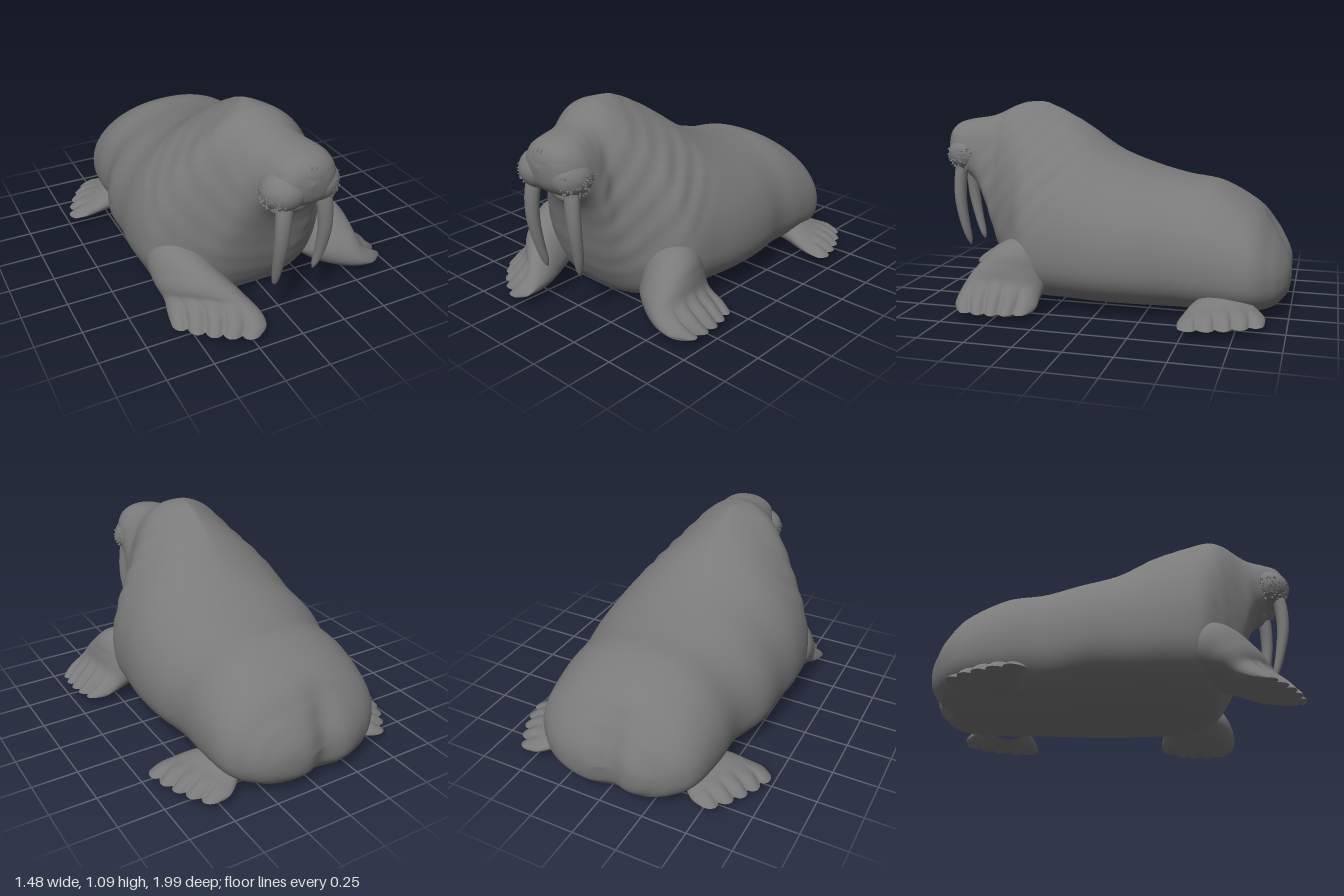
import * as THREE from 'three';

const hide = new THREE.MeshStandardMaterial({ color: 0x7a7a7a });
hide.name = 'grey hide';

// Small seeded generator for the bristles
let seed = 7;
const rand = () => (seed = (seed * 16807) % 2147483647) / 2147483647;
const step = (a, b, x) => THREE.MathUtils.smoothstep(x, a, b);
const V = (x, y, z) => new THREE.Vector3(x, y, z);

// Smooth interpolation through a short list of cross-sections
function sample(list, u) {
  const f = u * (list.length - 1);
  const i = Math.min(Math.floor(f), list.length - 2);
  const t = f - i;
  const at = k => list[Math.max(0, Math.min(list.length - 1, k))];
  return list[0].map((_, c) => {
    const p0 = at(i - 1)[c], p1 = at(i)[c], p2 = at(i + 1)[c], p3 = at(i + 2)[c];
    const m1 = (p2 - p0) / 2, m2 = (p3 - p1) / 2;
    return p1 + t * (m1 + t * (3 * (p2 - p1) - 2 * m1 - m2 + t * (2 * (p1 - p2) + m1 + m2)));
  });
}

// Closed tube of rings, fn(u, angle) gives [x, y, z]
function ringSurface(rows, cols, fn) {
  const pos = [], idx = [];
  for (let i = 0; i <= rows; i++) {
    for (let j = 0; j < cols; j++) pos.push(...fn(i / rows, (j / cols) * Math.PI * 2));
  }
  for (let i = 0; i < rows; i++) {
    for (let j = 0; j < cols; j++) {
      const k = (j + 1) % cols;
      const a = i * cols + j, b = i * cols + k, c = a + cols, d = b + cols;
      idx.push(a, b, c, b, d, c);
    }
  }
  const g = new THREE.BufferGeometry();
  g.setAttribute('position', new THREE.Float32BufferAttribute(pos, 3));
  g.setIndex(idx);
  g.computeVertexNormals();
  return g;
}

// Limb along a path; each section is [x, y, z, halfWidth, halfThickness].
// With "out" given, the far end becomes a webbed fan of five toes.
function limbGeometry(sections, side, out) {
  return ringSurface(36, out ? 96 : 28, (u, a) => {
    const s = sample(sections, u);
    const p = sample(sections, Math.max(0, u - 0.01)), q = sample(sections, Math.min(1, u + 0.01));
    const n = V(q[0] - p[0], q[1] - p[1], q[2] - p[2]).normalize().cross(side).normalize();
    const k = Math.cos(a);
    let h = Math.max(0, s[4]) * Math.sin(a);
    const point = V(s[0], s[1], s[2]).addScaledVector(side, Math.max(0, s[3]) * k);
    if (out) {
      const lobe = Math.sqrt(Math.abs(Math.sin((k + 1) * 2.5 * Math.PI)));
      const toe = step(0.55, 1, u);
      h *= 1 + 0.7 * toe * (lobe - 0.5);
      point.addScaledVector(out, toe * (0.04 * lobe + 0.035 * (1 - k * k)));
    }
    point.addScaledVector(n, h);
    return [point.x, Math.max(0.02, point.y), point.z];
  });
}

function add(parent, name, geometry) {
  const m = new THREE.Mesh(geometry, hide);
  m.name = name;
  parent.add(m);
  return m;
}

function ellipsoid(parent, name, [x, y, z], [rx, ry, rz]) {
  const m = add(parent, name, new THREE.SphereGeometry(1, 28, 20));
  m.position.set(x, y, z);
  m.scale.set(rx, ry, rz);
}

// Body sections: z, centre x, half width, top, widest height, bottom, upper taper
const BODY = [
  [-1.01, 0, 0, 0.22, 0.22, 0.22, 1],
  [-0.99, 0, 0.2, 0.31, 0.22, 0.12, 1],
  [-0.95, 0, 0.31, 0.39, 0.22, 0.07, 1],
  [-0.9, -0.01, 0.39, 0.46, 0.23, 0.035, 0.95],
  [-0.8, -0.01, 0.47, 0.57, 0.24, 0.02, 0.9],
  [-0.6, -0.015, 0.5, 0.68, 0.27, 0.012, 0.9],
  [-0.4, -0.015, 0.505, 0.715, 0.29, 0.01, 0.9],
  [-0.2, -0.03, 0.56, 0.765, 0.3, 0.01, 0.95],
  [0, -0.03, 0.57, 0.85, 0.31, 0.01, 1.1],
  [0.2, -0.05, 0.57, 0.99, 0.32, 0.01, 1.35],
  [0.4, -0.055, 0.54, 1.09, 0.33, 0.01, 1.55],
  [0.52, -0.06, 0.43, 1.1, 0.38, 0.03, 1.1],
  [0.6, -0.05, 0.345, 1.08, 0.45, 0.12, 0.9],
  [0.67, -0.035, 0.275, 1.045, 0.55, 0.27, 0.85],
  [0.73, -0.01, 0.235, 1.02, 0.68, 0.48, 0.85],
  [0.78, 0.01, 0.205, 1.01, 0.78, 0.6, 0.85],
  [0.85, 0.025, 0.185, 1.0, 0.83, 0.68, 0.85],
  [0.92, 0.025, 0.155, 0.98, 0.85, 0.72, 0.85],
  [0.965, 0.02, 0.1, 0.935, 0.86, 0.77, 1],
  [0.985, 0.015, 0, 0.86, 0.86, 0.86, 1],
];

function bodyPoint(u, a) {
  const [z, cx, hw, top, mid, bottom, taper] = sample(BODY, u);
  const c = Math.cos(a), s = Math.sin(a);
  const pow = (v, e) => Math.sign(v) * Math.abs(v) ** e;
  let x = Math.max(0, hw) * pow(c, s > 0 ? taper : 0.75);
  let y = s > 0 ? (top - mid) * s : (mid - bottom) * pow(s, 0.8);
  // Slanted skin folds around neck and chest, fading over the back
  const fold = z + 0.9 * (mid + y);
  const mask = step(0.65, 0.95, fold) * (1 - step(1.35, 1.65, fold)) * step(-0.1, 0.2, z)
    * (1 - step(0.7, 0.8, z)) * (1 - 0.85 * step(0.5, 0.95, s));
  const k = 1 - 0.02 * mask * (1 + Math.cos(fold * 42 + 0.8 * Math.sin(x * 7))) / 2;
  x *= k;
  y *= k;
  // Cleft between the two haunches
  const cleft = 0.04 * Math.exp(-(((x + 0.05) / 0.08) ** 2)) * (1 - step(-0.99, -0.8, z));
  return [cx + x, Math.max(0.005, mid + y), z + cleft];
}

export function createModel() {
  const model = new THREE.Group();
  model.name = 'walrus';
  add(model, 'body', ringSurface(170, 96, bodyPoint));

  // Muzzle, whisker pads and chin
  ellipsoid(model, 'noseBridge', [0.025, 0.885, 0.88], [0.16, 0.105, 0.1]);
  ellipsoid(model, 'chin', [0.025, 0.68, 0.78], [0.1, 0.055, 0.085]);
  const pads = [[-0.08, 0.81, 0.87, -1], [0.11, 0.81, 0.85, 1]];
  for (const [x, y, z, side] of pads) {
    ellipsoid(model, 'whiskerPad', [x, y, z], [0.118, 0.105, 0.118]);
    ellipsoid(model, 'nostril', [0.025 + side * 0.012, 0.94, 0.962], [0.005, 0.014, 0.008]);
    // Short bristles on the outer face of the pad
    for (let i = 0; i < 90; i++) {
      const a = (0.05 + 0.8 * rand()) * Math.PI - 0.35;
      const v = -0.8 + 1.1 * rand();
      const r = Math.sqrt(1 - v * v);
      const d = V(side * Math.sin(a) * r, v, Math.cos(a) * r);
      if (d.x * side < 0.35) continue;
      const b = add(model, 'bristle', new THREE.ConeGeometry(0.011, 0.022, 5));
      b.position.set(x, y, z).addScaledVector(d, 0.116);
      b.quaternion.setFromUnitVectors(V(0, 1, 0), d);
    }
  }

  // Tusks, curving down and back
  add(model, 'rightTusk', limbGeometry([
    [-0.085, 0.82, 0.89, 0.045, 0.036], [-0.1, 0.7, 0.925, 0.043, 0.036],
    [-0.108, 0.55, 0.927, 0.038, 0.033], [-0.106, 0.4, 0.9, 0.029, 0.026],
    [-0.101, 0.29, 0.87, 0.018, 0.017], [-0.099, 0.25, 0.857, 0, 0]], V(1, 0, 0)));
  add(model, 'leftTusk', limbGeometry([
    [0.13, 0.82, 0.86, 0.045, 0.036], [0.15, 0.7, 0.885, 0.043, 0.036],
    [0.163, 0.55, 0.888, 0.038, 0.033], [0.157, 0.4, 0.868, 0.029, 0.026],
    [0.143, 0.31, 0.851, 0.018, 0.017], [0.135, 0.265, 0.842, 0, 0]], V(1, 0, 0)));

  // Front flippers: the left one points sideways, the right one forward
  add(model, 'leftFrontFlipper', limbGeometry([
    [0.3, 0.32, 0.43, 0.1, 0.1], [0.37, 0.26, 0.45, 0.17, 0.17], [0.44, 0.18, 0.48, 0.21, 0.155],
    [0.52, 0.11, 0.505, 0.22, 0.1], [0.6, 0.07, 0.5, 0.22, 0.045], [0.655, 0.055, 0.49, 0.19, 0]],
  V(0.1, 0, 0.995), V(0.995, 0, -0.1)));
  add(model, 'rightFrontFlipper', limbGeometry([
    [-0.4, 0.3, 0.36, 0.1, 0.1], [-0.44, 0.25, 0.47, 0.18, 0.16], [-0.41, 0.18, 0.61, 0.23, 0.14],
    [-0.375, 0.12, 0.71, 0.25, 0.095], [-0.38, 0.08, 0.78, 0.255, 0.045], [-0.405, 0.06, 0.825, 0.23, 0]],
  V(0.8, 0, 0.6), V(-0.6, 0, 0.8)));

  // Hind flippers, spread flat beside the haunches
  add(model, 'leftHindFlipper', limbGeometry([
    [0.34, 0.1, -0.64, 0.1, 0.06], [0.42, 0.1, -0.66, 0.16, 0.065], [0.49, 0.085, -0.675, 0.2, 0.055],
    [0.55, 0.072, -0.685, 0.225, 0.042], [0.605, 0.06, -0.69, 0.22, 0]],
  V(0.386, 0, 0.922), V(0.922, 0, -0.386)));
  add(model, 'rightHindFlipper', limbGeometry([
    [-0.36, 0.1, -0.57, 0.1, 0.06], [-0.43, 0.1, -0.6, 0.16, 0.065], [-0.5, 0.085, -0.625, 0.2, 0.055],
    [-0.56, 0.072, -0.64, 0.225, 0.042], [-0.61, 0.06, -0.655, 0.22, 0]],
  V(-0.49, 0, 0.872), V(-0.872, 0, -0.49)));
  return model;
}
